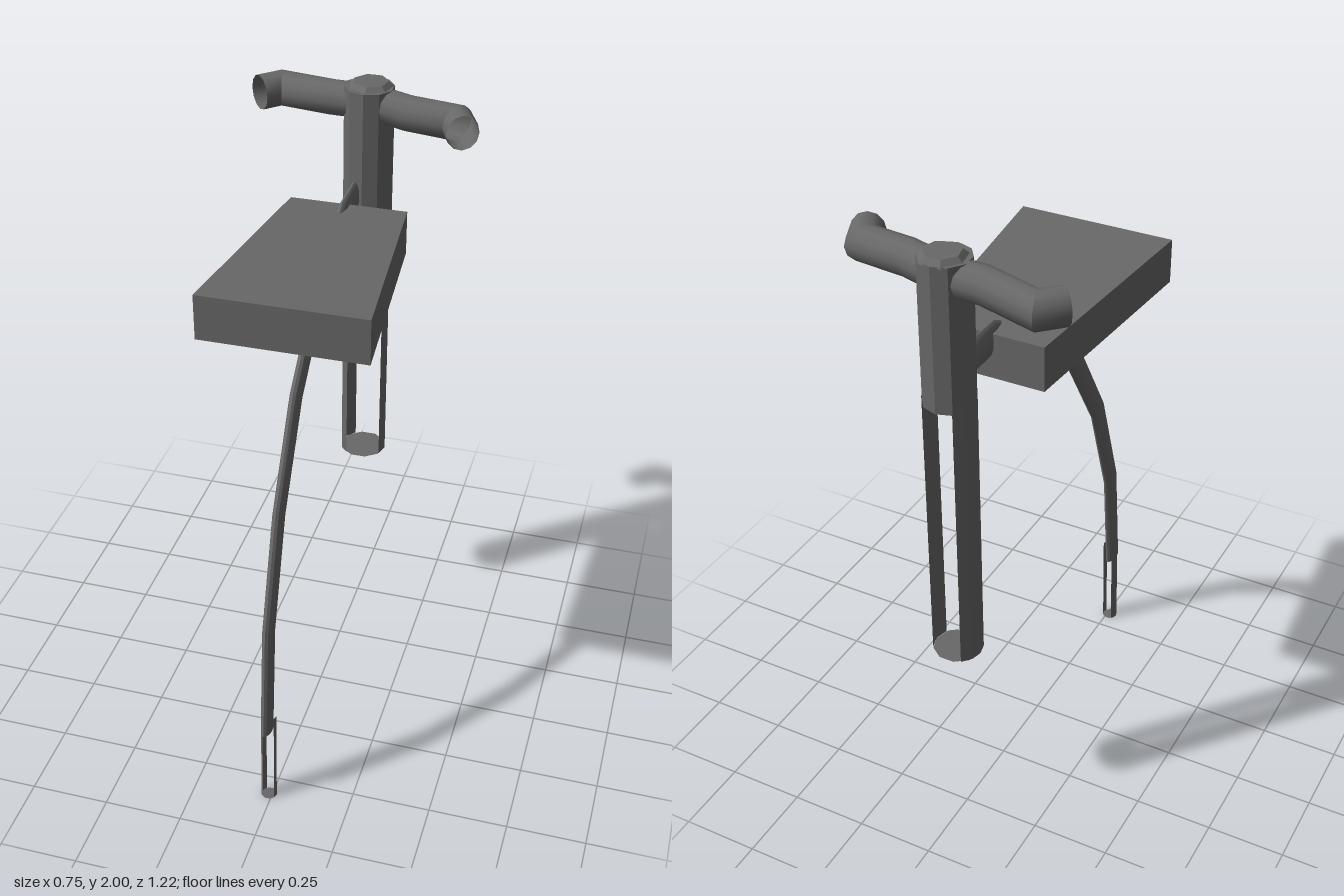
import * as THREE from 'three';
import { toCreasedNormals } from 'three/addons/utils/BufferGeometryUtils.js';

const V = (x, y, z) => new THREE.Vector3(x, y, z);
const rad = THREE.MathUtils.degToRad;
const grey = new THREE.MeshStandardMaterial({ color: 0x686868, side: THREE.DoubleSide });
grey.name = 'darkGrey';

function add(parent, name, geometry) {
  const mesh = new THREE.Mesh(geometry, grey);
  mesh.name = name;
  parent.add(mesh);
  return mesh;
}

// Open tube with mitred bends along a flat path; side is the normal of the path's plane.
// Each point is [position, radius along side, radius in the plane].
function mitredTube(points, side, sides = 12) {
  const pos = [], index = [];
  points.forEach(([p, rs, rp], i) => {
    const before = i > 0 ? p.clone().sub(points[i - 1][0]).normalize() : null;
    const after = i < points.length - 1 ? points[i + 1][0].clone().sub(p).normalize() : null;
    const a = before || after, b = after || before;
    const t = a.clone().add(b).normalize();
    const n = side.clone().cross(t).normalize();
    const stretch = 1 / Math.max(0.5, t.dot(a));
    for (let j = 0; j < sides; j++) {
      const w = (j / sides) * Math.PI * 2;
      const q = p.clone().addScaledVector(side, rs * Math.cos(w)).addScaledVector(n, rp * stretch * Math.sin(w));
      pos.push(q.x, q.y, q.z);
      if (i > 0) {
        const k = (j + 1) % sides, c = i * sides, d = c - sides;
        index.push(d + j, d + k, c + k, d + j, c + k, c + j);
      }
    }
  });
  const g = new THREE.BufferGeometry();
  g.setAttribute('position', new THREE.Float32BufferAttribute(pos, 3));
  g.setIndex(index);
  return toCreasedNormals(g, 0.6);
}

// Two facing curved walls with slots at front and back, closed by a floor disc
function slottedTube(name, r, h, leftHalf, rightHalf) {
  const group = new THREE.Group();
  group.name = name;
  const wall = (label, centre, half, segs) => {
    const g = new THREE.CylinderGeometry(r, r, h, segs, 1, true, rad(centre - half), rad(2 * half));
    add(group, label, toCreasedNormals(g, 0.1)).position.y = h / 2;
  };
  wall('leftWall', 90, leftHalf, 2);
  wall('rightWall', 270, rightHalf, 4);
  add(group, 'floor', new THREE.CircleGeometry(r, 10).rotateX(Math.PI / 2));
  return group;
}

export function createModel() {
  const model = new THREE.Group();
  model.name = 'seatFrame';

  // Upright post: slotted lower part, solid collar above
  const post = slottedTube('post', 0.077, 0.9, 32, 55);
  post.position.set(0.012, 0.66, -0.5);
  model.add(post);
  const collar = add(model, 'collar', toCreasedNormals(new THREE.CylinderGeometry(0.078, 0.078, 0.445, 10), 0.1));
  collar.position.set(0.012, 1.763, -0.5);
  const cap = add(model, 'collarCap', toCreasedNormals(new THREE.CylinderGeometry(0.055, 0.075, 0.018, 7), 0.1));
  cap.position.set(0.015, 1.991, -0.505);

  // Handlebar, turned slightly and bent at both grips
  const bar = [[-0.34, 1.925, -0.5], [-0.285, 1.925, -0.555], [-0.11, 1.932, -0.51], [0.02, 1.932, -0.505],
    [0.145, 1.928, -0.46], [0.3, 1.925, -0.437], [0.332, 1.925, -0.365]];
  add(model, 'handlebar', mitredTube(bar.map(([x, y, z]) => [V(x, y, z), 0.055, 0.051]), V(0, 1, 0)));

  // Wedge seat: narrower and a little lower at the back
  const seat = new THREE.BoxGeometry(1, 0.142, 0.708);
  const p = seat.attributes.position;
  for (let i = 0; i < p.count; i++) {
    const front = p.getZ(i) > 0;
    p.setX(i, p.getX(i) * (front ? 0.508 : 0.37));
    p.setY(i, p.getY(i) + (front ? 0.013 : -0.013));
  }
  seat.computeVertexNormals();
  add(model, 'seat', seat).position.set(-0.003, 1.611, 0.032);

  // Thin curved spine from the post, under the seat, down to the foot
  const spine = [[-0.46, 1.643, 0.053], [-0.3, 1.643, 0.05], [-0.01, 1.505, 0.04], [0.22, 1.303, 0.04],
    [0.407, 1.002, 0.038], [0.528, 0.652, 0.038], [0.567, 0.28, 0.038]];
  add(model, 'spine', mitredTube(spine.map(([z, y, r]) => [V(-0.013, y, z), 0.017, r]), V(1, 0, 0)));

  // Slotted foot, leaning slightly
  const foot = slottedTube('foot', 0.025, 0.334, 35, 55);
  foot.position.set(-0.01, 0.001, 0.57);
  foot.rotation.x = -0.04;
  model.add(foot);

  return model;
}
